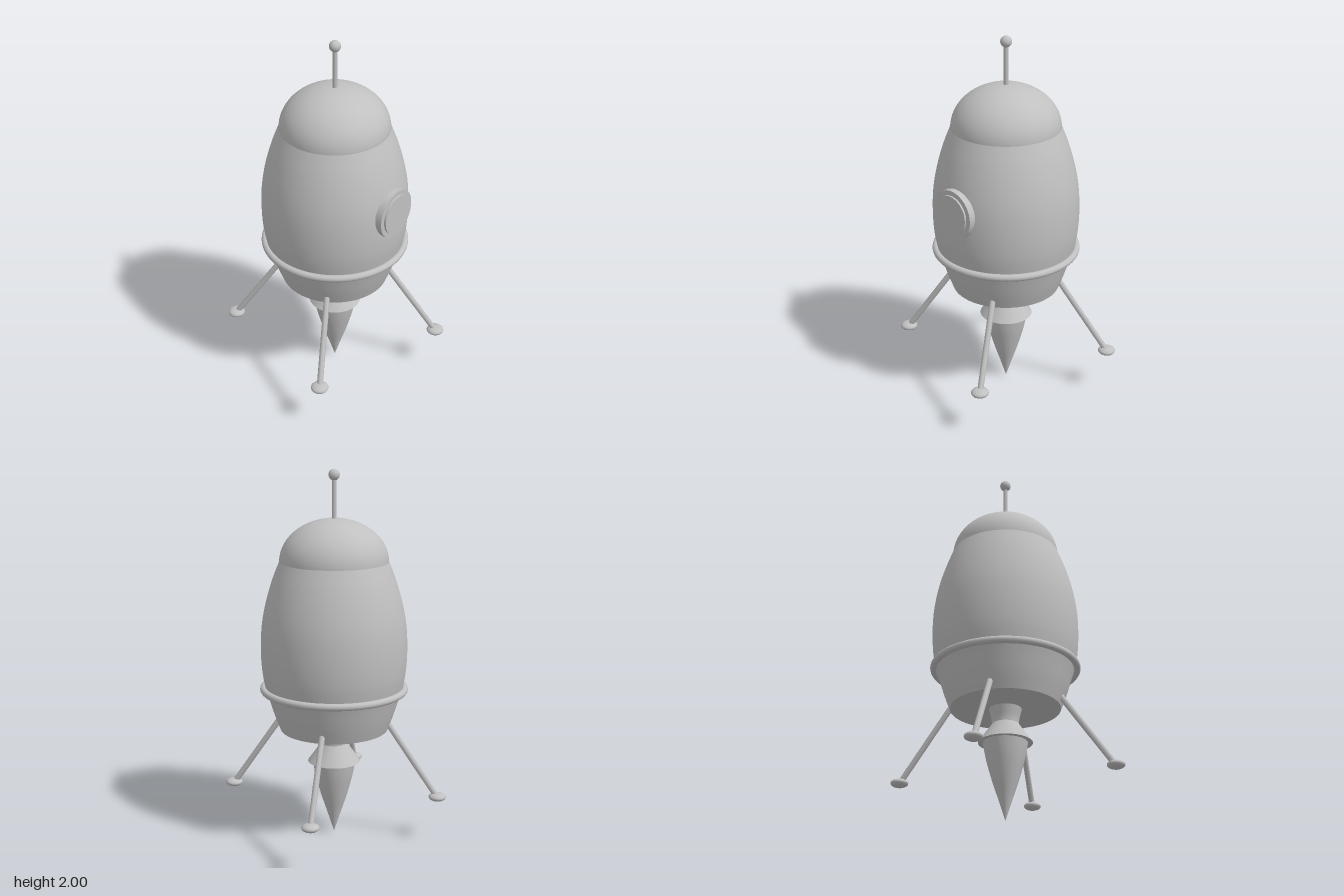
import * as THREE from 'three';

export function createModel() {
  const model = new THREE.Group();
  model.name = 'rocket';
  const grey = new THREE.MeshStandardMaterial({ color: 0xc0c0c0 });
  grey.name = 'plain grey';

  const add = (name, geometry, x = 0, y = 0, z = 0, parent = model) => {
    const mesh = new THREE.Mesh(geometry, grey);
    mesh.name = name;
    mesh.position.set(x, y, z);
    parent.add(mesh);
    return mesh;
  };
  const vectors = (points) => points.map(([r, y]) => new THREE.Vector2(r, y));
  // Smooth turned shape, profile given from bottom to top
  const turned = (points, steps = 32) =>
    new THREE.LatheGeometry(new THREE.SplineCurve(vectors(points)).getPoints(steps), 64);

  // Hull: egg-shaped shell above a tapered skirt
  add('hull', turned([[0.368, 0.83], [0.385, 0.93], [0.391, 1.05], [0.384, 1.18],
    [0.362, 1.3], [0.327, 1.42], [0.284, 1.53]]));
  add('skirt', turned([[0.29, 0.604], [0.322, 0.69], [0.35, 0.78], [0.366, 0.83]], 12));
  const base = add('skirtFloor', new THREE.CircleGeometry(0.29, 64), 0, 0.604, 0);
  base.rotation.x = Math.PI / 2;

  // Nose dome with a short overhanging rim
  const dome = add('noseDome',
    new THREE.SphereGeometry(0.289, 64, 24, 0, Math.PI * 2, 0, Math.PI / 2), 0, 1.515, 0);
  dome.scale.y = 0.23 / 0.289;
  const rim = add('domeRim', new THREE.RingGeometry(0.26, 0.289, 64), 0, 1.515, 0);
  rim.rotation.x = Math.PI / 2;

  // Antenna
  add('antennaRod', new THREE.CylinderGeometry(0.012, 0.012, 0.24, 8), 0, 1.84, 0);
  add('antennaBall', new THREE.SphereGeometry(0.03, 20, 14), 0, 1.97, 0);

  // Belt around the hull
  const belt = add('belt', new THREE.TorusGeometry(0.379, 0.019, 16, 80), 0, 0.83, 0);
  belt.rotation.x = Math.PI / 2;

  // Round window on the front
  const frame = add('windowFrame', new THREE.CylinderGeometry(0.132, 0.132, 0.1, 48), 0, 1.145, 0.35);
  frame.rotation.x = Math.PI / 2;
  const pane = add('windowPane', new THREE.CylinderGeometry(0.106, 0.106, 0.06, 48), 0, 1.145, 0.38);
  pane.rotation.x = Math.PI / 2;

  // Engine nozzle: narrow neck, flared bell, flat underside
  add('nozzleNeck', turned([[0.07, 0.52], [0.073, 0.55], [0.087, 0.61]], 10));
  add('nozzleBell', turned([[0.142, 0.418], [0.105, 0.47], [0.07, 0.52]], 10));
  const mouth = add('nozzleMouth', new THREE.CircleGeometry(0.142, 48), 0, 0.418, 0);
  mouth.rotation.x = Math.PI / 2;

  // Exhaust flame
  add('flame', turned([[0, 0.005], [0.034, 0.11], [0.07, 0.22], [0.1, 0.33], [0.117, 0.42]]));

  // Four splayed legs with flattened round feet
  const top = new THREE.Vector3(0.27, 0.685, 0);
  const foot = new THREE.Vector3(0.565, 0.255, 0);
  const along = top.clone().sub(foot);
  for (let i = 0; i < 4; i++) {
    const leg = new THREE.Group();
    leg.name = 'leg' + (i + 1);
    leg.rotation.y = Math.PI / 6 + i * Math.PI / 2;
    model.add(leg);
    const mid = top.clone().add(foot).multiplyScalar(0.5);
    const strut = add('legStrut', new THREE.CylinderGeometry(0.016, 0.016, along.length(), 8),
      mid.x, mid.y, 0, leg);
    strut.quaternion.setFromUnitVectors(new THREE.Vector3(0, 1, 0), along.clone().normalize());
    const pad = add('footPad', new THREE.SphereGeometry(0.047, 20, 12), 0.571, 0.25, 0, leg);
    pad.scale.y = 0.47;
  }
  return model;
}
